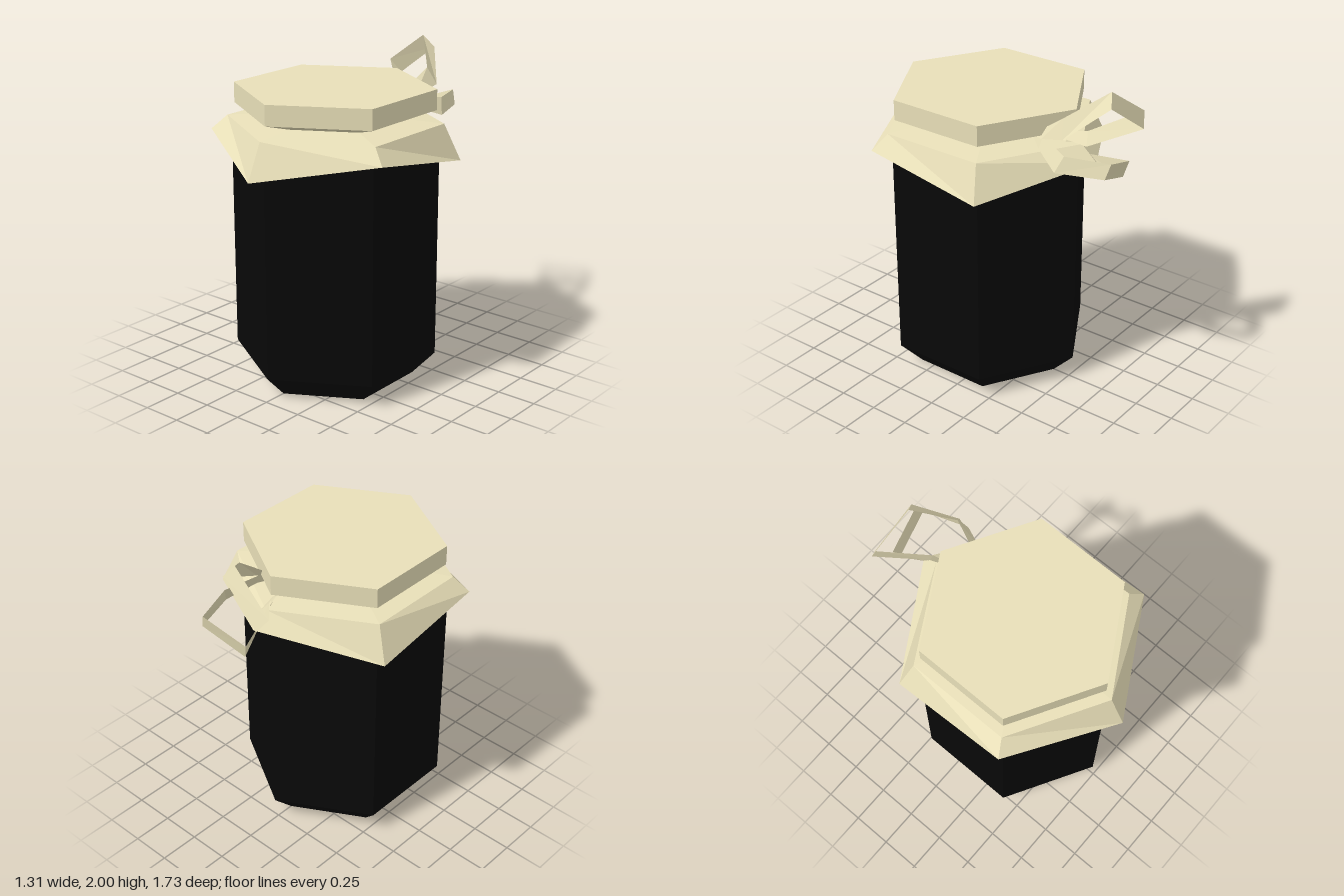
import * as THREE from 'three';

const CENTRE_Z = 0.105;
const cream = new THREE.MeshStandardMaterial({ color: 0xe8dfb8, flatShading: true, side: THREE.DoubleSide });
const black = new THREE.MeshStandardMaterial({ color: 0x080808, flatShading: true });

// Six-sided solid turned from [radius, height] pairs, with a corner facing the front
function hexLathe(profile) {
  return new THREE.LatheGeometry(profile.map(([r, y]) => new THREE.Vector2(r, y)), 6);
}

function addMesh(parent, name, geometry, material) {
  const mesh = new THREE.Mesh(geometry, material);
  mesh.name = name;
  parent.add(mesh);
  return mesh;
}

// Flat ribbon folded along a list of [upper edge point, lower edge point] pairs
function ribbon(sections) {
  const index = [];
  for (let i = 0; i < sections.length - 1; i++) {
    const a = i * 2;
    index.push(a, a + 1, a + 2, a + 1, a + 3, a + 2);
  }
  const geometry = new THREE.BufferGeometry();
  geometry.setAttribute('position', new THREE.Float32BufferAttribute(sections.flat(2), 3));
  geometry.setIndex(index);
  geometry.computeVertexNormals();
  return geometry;
}

export function createModel() {
  const model = new THREE.Group();
  model.name = 'clothToppedJar';

  // Jar with a chamfered base
  const jar = hexLathe([[0, 0], [0.49, 0], [0.63, 0.145], [0.63, 1.61], [0, 1.61]]);
  addMesh(model, 'jarBody', jar, black).position.z = CENTRE_Z;

  // Cloth cover: skirt, gathered neck and lid top; every other skirt corner is lifted
  const profile = [[0.757, 1.4], [0.655, 1.62], [0.41, 1.64], [0.61, 1.7], [0.61, 1.825], [0, 1.825]];
  const cover = hexLathe(profile);
  for (let i = 1; i < 6; i += 2) cover.attributes.position.setY(i * profile.length, 1.53);
  addMesh(model, 'clothCover', cover, cream).position.z = CENTRE_Z;

  // Bow: two folded ribbon loops tied at the back of the neck
  const bow = new THREE.Group();
  bow.name = 'ribbonBow';
  model.add(bow);
  addMesh(bow, 'upperLoop', ribbon([
    [[0.10, 1.70, -0.30], [0.13, 1.66, -0.29]],
    [[0.16, 1.755, -0.42], [0.21, 1.69, -0.41]],
    [[0.20, 1.85, -0.55], [0.25, 1.745, -0.585]],
    [[0.02, 2.00, -0.75], [0.08, 1.925, -0.79]],
    [[-0.27, 1.80, -0.79], [-0.21, 1.715, -0.83]],
    [[-0.04, 1.69, -0.56], [0.015, 1.62, -0.59]],
    [[0.00, 1.68, -0.47], [0.04, 1.64, -0.46]],
    [[0.03, 1.68, -0.32], [0.06, 1.65, -0.31]],
  ]), cream);
  addMesh(bow, 'lowerLoop', ribbon([
    [[0.13, 1.69, -0.32], [0.13, 1.66, -0.29]],
    [[0.19, 1.70, -0.41], [0.22, 1.63, -0.40]],
    [[0.27, 1.66, -0.61], [0.305, 1.56, -0.57]],
    [[0.18, 1.65, -0.865], [0.21, 1.56, -0.845]],
    [[-0.10, 1.55, -0.81], [-0.07, 1.455, -0.79]],
    [[0.00, 1.57, -0.58], [0.025, 1.485, -0.60]],
    [[0.00, 1.66, -0.48], [0.04, 1.63, -0.46]],
    [[0.04, 1.67, -0.32], [0.06, 1.65, -0.31]],
  ]), cream);

  return model;
}
